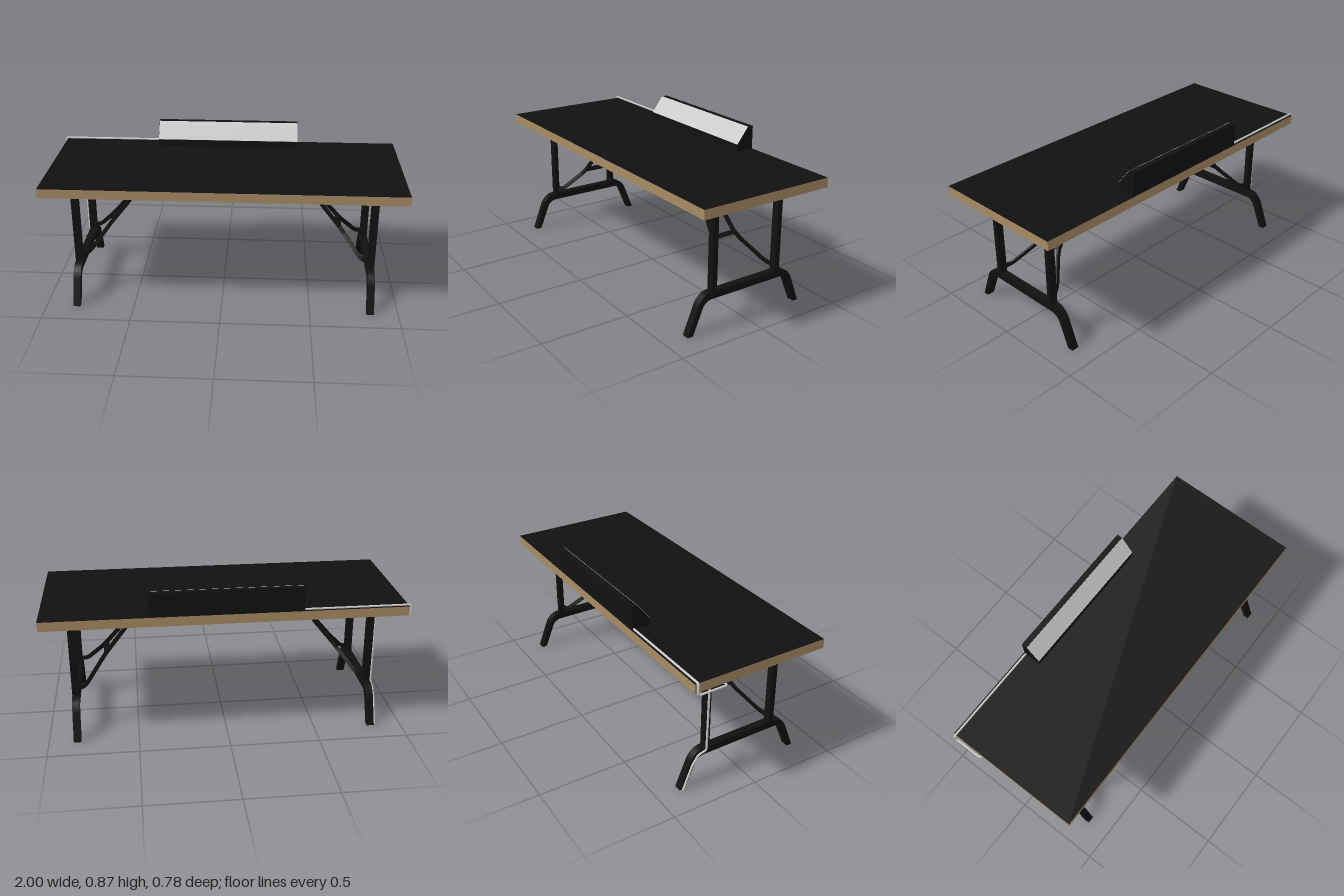
import * as THREE from 'three';

const mat = (color) => new THREE.MeshStandardMaterial({ color });
const black = mat(0x111111);
const wood = mat(0xa88b64);
const grey = mat(0xcccccc);
const CX = 0.0075; // centre of the table top

function add(parent, name, geometry, material) {
  const mesh = new THREE.Mesh(geometry, material);
  mesh.name = name;
  parent.add(mesh);
  return mesh;
}

function box(parent, name, size, pos, material) {
  const mesh = add(parent, name, new THREE.BoxGeometry(...size), material);
  mesh.position.set(...pos);
  return mesh;
}

// Rectangular bar swept along points; h is its thickness in the xy plane, w its width along z
function barGeometry(points, h, w) {
  const pos = [], idx = [];
  const quad = (a, b, c, d) => {
    const n = pos.length / 3;
    for (const p of [a, b, c, d]) pos.push(p.x, p.y, p.z);
    idx.push(n, n + 1, n + 2, n, n + 2, n + 3);
  };
  const rings = points.map((p, i) => {
    const t = points[Math.min(i + 1, points.length - 1)].clone().sub(points[Math.max(i - 1, 0)]);
    const n = new THREE.Vector3(-t.y, t.x, 0).normalize().multiplyScalar(h / 2);
    return [[1, 1], [-1, 1], [-1, -1], [1, -1]].map(([a, b]) =>
      p.clone().addScaledVector(n, a).add(new THREE.Vector3(0, 0, (b * w) / 2)));
  });
  for (let i = 0; i < rings.length - 1; i++) {
    for (let k = 0; k < 4; k++) {
      const m = (k + 1) % 4;
      quad(rings[i][k], rings[i][m], rings[i + 1][m], rings[i + 1][k]);
    }
  }
  const last = rings[rings.length - 1];
  quad(rings[0][3], rings[0][2], rings[0][1], rings[0][0]);
  quad(last[0], last[1], last[2], last[3]);
  const g = new THREE.BufferGeometry();
  g.setAttribute('position', new THREE.Float32BufferAttribute(pos, 3));
  g.setIndex(idx);
  g.computeVertexNormals();
  return g;
}

// Arched foot profile in z and y, extruded across x
function footGeometry() {
  const s = new THREE.Shape();
  s.moveTo(-0.37, 0);
  s.lineTo(-0.312, 0.148);
  s.bezierCurveTo(-0.296, 0.19, -0.265, 0.216, -0.225, 0.216);
  s.lineTo(0.225, 0.216);
  s.bezierCurveTo(0.265, 0.216, 0.296, 0.19, 0.312, 0.148);
  s.lineTo(0.37, 0);
  s.lineTo(0.338, 0);
  s.lineTo(0.282, 0.135);
  s.bezierCurveTo(0.272, 0.16, 0.252, 0.177, 0.225, 0.177);
  s.lineTo(-0.225, 0.177);
  s.bezierCurveTo(-0.252, 0.177, -0.272, 0.16, -0.282, 0.135);
  s.lineTo(-0.338, 0);
  s.closePath();
  const g = new THREE.ExtrudeGeometry(s, { depth: 0.042, bevelEnabled: false, curveSegments: 10 });
  g.translate(0, 0, -0.021);
  g.rotateY(Math.PI / 2);
  return g;
}

// Folding leg frame for the +x end, with x measured from the table centre
function createLeg() {
  const leg = new THREE.Group();
  leg.name = 'foldingLeg';
  add(leg, 'foot', footGeometry(), black).position.x = 0.835;

  // Hinge bracket under the top
  box(leg, 'bracketPlate', [0.055, 0.012, 0.08], [0.45, 0.684, 0], black);
  for (const s of [1, -1]) {
    box(leg, 'post', [0.042, 0.49, 0.028], [0.835, 0.445, s * 0.207], black);
    box(leg, 'bracketSide', [0.055, 0.05, 0.014], [0.45, 0.66, s * 0.033], black);

    // Bent brace from the bracket down to the post
    const path = [
      [0.45, 0.655, 0.029], [0.462, 0.641, 0.03], [0.643, 0.422, 0.069], [0.657, 0.405, 0.073],
      [0.683, 0.373, 0.09], [0.75, 0.292, 0.155], [0.768, 0.271, 0.171],
      [0.784, 0.258, 0.182], [0.8, 0.252, 0.19], [0.822, 0.25, 0.194],
    ].map(([x, y, z]) => new THREE.Vector3(x, y, s * z));
    add(leg, 'brace', barGeometry(path, 0.022, 0.013), black);
  }
  const cross = box(leg, 'braceCrossbar', [0.022, 0.02, 0.14], [0.657, 0.402, 0], black);
  cross.rotation.z = -0.88;
  return leg;
}

// Cable through points with small rounded corners
function cableGeometry(points, radius) {
  const v = points.map((p) => new THREE.Vector3(...p));
  const path = new THREE.CurvePath();
  let from = v[0];
  for (let i = 1; i < v.length - 1; i++) {
    const toPrev = v[i - 1].clone().sub(v[i]).setLength(0.012);
    const toNext = v[i + 1].clone().sub(v[i]).setLength(0.012);
    const a = v[i].clone().add(toPrev), b = v[i].clone().add(toNext);
    path.add(new THREE.LineCurve3(from, a));
    path.add(new THREE.QuadraticBezierCurve3(a, v[i], b));
    from = b;
  }
  path.add(new THREE.LineCurve3(from, v[v.length - 1]));
  return new THREE.TubeGeometry(path, 300, radius, 8, false);
}

export function createModel() {
  const model = new THREE.Group();
  model.name = 'foldingTable';

  // Top: wooden edge band with dark faces above and below
  box(model, 'tableTop', [1.985, 0.052, 0.78], [CX, 0.715, 0],
    [wood, wood, black, black, wood, wood]);

  // Two mirrored folding legs
  for (const turn of [0, Math.PI]) {
    const leg = createLeg();
    leg.position.x = CX;
    leg.rotation.y = turn;
    model.add(leg);
  }

  // Wedge-shaped console at the back edge
  const s = new THREE.Shape();
  s.moveTo(0.28, 0.74);
  s.lineTo(0.385, 0.74);
  s.lineTo(0.385, 0.874);
  s.lineTo(0.352, 0.874);
  s.lineTo(0.28, 0.782);
  s.closePath();
  const body = new THREE.ExtrudeGeometry(s, { depth: 0.83, bevelEnabled: false });
  body.rotateY(Math.PI / 2);
  add(model, 'console', body, black).position.x = -0.41;

  // Sloping light panel on the console
  const panel = box(model, 'consolePanel', [0.828, 0.002, 0.116], [0.005, 0.8285, -0.3155], grey);
  panel.rotation.x = Math.atan2(0.092, 0.072);

  // Cable along the back edge, round the corner and down the rear post
  add(model, 'cable', cableGeometry([
    [-0.405, 0.747, -0.376], [-0.994, 0.747, -0.376], [-0.994, 0.68, -0.376],
    [-0.994, 0.68, -0.21], [-0.855, 0.68, -0.21], [-0.855, 0.205, -0.215],
    [-0.855, 0.19, -0.265], [-0.855, 0.14, -0.3], [-0.855, 0.002, -0.354],
  ], 0.006), grey);

  return model;
}
